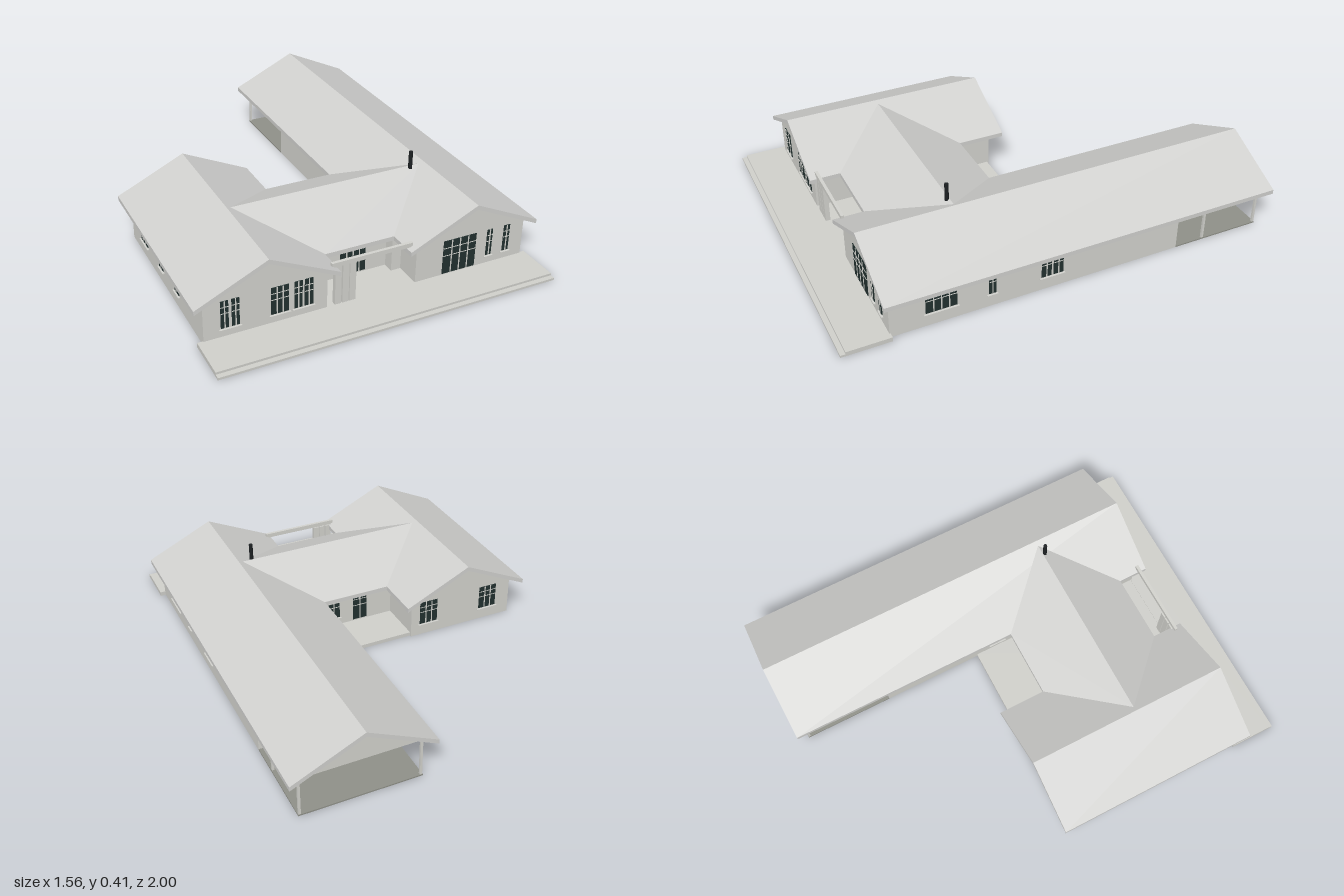
import * as THREE from 'three';

const mat = (name, color) => {
  const m = new THREE.MeshStandardMaterial({ color, side: THREE.DoubleSide });
  m.name = name;
  return m;
};

export function createModel() {
  const wall = mat('wall', 0xd2d2cd);
  const roof = mat('roof', 0xd0d0ce);
  const paving = mat('paving', 0xcfcfca);
  const decking = mat('decking', 0x8f9088);
  const glass = mat('glass', 0x22302f);
  const metal = mat('flue metal', 0x1c2022);
  const house = new THREE.Group();
  house.name = 'house';

  const add = (name, geo, material, parent = house) => {
    const mesh = new THREE.Mesh(geo, material);
    mesh.name = name;
    parent.add(mesh);
    return mesh;
  };
  // Box given by its limits on each axis
  const box = (name, material, x0, x1, y0, y1, z0, z1, parent) => {
    const g = new THREE.BoxGeometry(x1 - x0, y1 - y0, z1 - z0);
    g.translate((x0 + x1) / 2, (y0 + y1) / 2, (z0 + z1) / 2);
    return add(name, g, material, parent);
  };
  // Profile in x and y, extruded from z0 to z1
  const prism = (name, material, pts, z0, z1) => {
    const shape = new THREE.Shape(pts.map(([x, y]) => new THREE.Vector2(x, y)));
    const g = new THREE.ExtrudeGeometry(shape, { depth: z1 - z0, bevelEnabled: false });
    g.translate(0, 0, z0);
    return add(name, g, material);
  };

  // Gabled wings
  const PEAK = 0.34, EAVE = 0.195, HALF = 0.31, T = 0.02, IN = 0.265;
  const under = d => PEAK - T - 0.002 - (PEAK - EAVE) * d / HALF;
  const wing = (name, cx, wallBack, roofBack) => {
    prism(name + 'Walls', wall, [
      [cx - IN, 0], [cx + IN, 0], [cx + IN, under(IN)], [cx, under(0)], [cx - IN, under(IN)],
    ], wallBack, 0.79);
    prism(name + 'Roof', roof, [
      [cx - HALF, EAVE - T], [cx, PEAK - T], [cx + HALF, EAVE - T],
      [cx + HALF, EAVE], [cx, PEAK], [cx - HALF, EAVE],
    ], roofBack, 0.82);
  };
  wing('shortWing', -0.47, -0.08, -0.13);
  wing('longWing', 0.47, -0.54, -1);

  // Linking hall between the wings
  box('hallWalls', wall, -0.21, 0.21, 0, 0.18, 0.14, 0.62);
  box('hallSidePier', wall, 0.16, 0.21, 0, 0.18, 0.62, 0.67);
  const quads = [];
  const quad = (a, b, c, d) => quads.push(...a, ...b, ...c, ...a, ...c, ...d);
  const R = 0.45, E = 0.16, zr = 0.385;
  const eave = (x, y, s) => [x, y, zr + s * 0.295];
  for (const s of [1, -1]) {
    quad(eave(-E * s, EAVE, s), eave(E * s, EAVE, s), [R * s, 0.33, zr], [-R * s, 0.33, zr]);
    quad(eave(-E * s, EAVE - T, s), eave(E * s, EAVE - T, s), eave(E * s, EAVE, s), eave(-E * s, EAVE, s));
  }
  quad(eave(-E, EAVE - T, -1), eave(E, EAVE - T, -1), eave(E, EAVE - T, 1), eave(-E, EAVE - T, 1));
  const hall = new THREE.BufferGeometry();
  hall.setAttribute('position', new THREE.Float32BufferAttribute(quads, 3));
  hall.computeVertexNormals();
  add('hallRoof', hall, roof);

  // Floors and front terrace
  box('frontTerrace', paving, -0.76, 0.76, 0, 0.02, 0.785, 0.978);
  box('terraceStep', paving, -0.76, 0.76, 0, 0.01, 0.978, 1);
  box('courtFloor', paving, -0.21, 0.21, 0, 0.018, -0.07, 0.786);
  box('porchFloor', decking, 0.205, 0.735, 0, 0.006, -0.96, -0.541);

  // Rear porch: ceiling, gable and posts
  box('porchCeiling', wall, 0.205, 0.735, 0.182, 0.188, -0.955, -0.541);
  prism('porchGable', wall, [
    [0.205, 0.182], [0.735, 0.182], [0.735, under(IN)], [0.47, under(0)], [0.205, under(IN)],
  ], -0.96, -0.945);
  for (const [x, z] of [[0.212, -0.953], [0.728, -0.953], [0.728, -0.68]]) {
    box('porchPost', wall, x - 0.005, x + 0.005, 0, 0.184, z - 0.005, z + 0.005);
  }

  // Entry screen: beam and three posts
  box('entryBeam', wall, -0.185, 0.185, 0.2, 0.22, 0.775, 0.789);
  for (const x of [-0.155, -0.121, -0.089]) {
    box('entryPost', wall, x - 0.014, x + 0.014, 0.02, 0.2, 0.768, 0.789);
  }

  // Flue
  const flue = add('flue', new THREE.CylinderGeometry(0.009, 0.009, 0.11, 12), metal);
  flue.position.set(0.4, 0.35, 0.395);

  // Window of several panes, placed flat on a wall that faces the given angle
  const opening = (name, x, z, angle, w, y0, y1, cols) => {
    const g = new THREE.Group();
    g.name = name;
    g.position.set(x, 0, z);
    g.rotation.y = angle;
    house.add(g);
    const h = y1 - y0, bar = 0.0025;
    box('pane', glass, -w / 2, w / 2, y0, y1, 0, 0.003, g);
    for (let i = 1; i < cols; i++) {
      const bx = -w / 2 + w * i / cols;
      box('mullion', wall, bx - bar, bx + bar, y0, y1, 0.001, 0.005, g);
    }
    for (const f of [0.55, 0.78]) {
      const by = y0 + h * f;
      box('glazingBar', wall, -w / 2, w / 2, by - bar / 2, by + bar / 2, 0.001, 0.005, g);
    }
    if (y0 > 0.03) box('sill', wall, -w / 2 - 0.008, w / 2 + 0.008, y0 - 0.008, y0 - 0.004, 0, 0.009, g);
  };
  const front = 0, back = Math.PI, right = Math.PI / 2, left = -Math.PI / 2;

  // Front windows and glazed doors: centre, width, panes
  for (const [x, w, n] of [
    [-0.646, 0.033, 2], [-0.6, 0.032, 2], [-0.413, 0.075, 3], [-0.333, 0.035, 2], [-0.287, 0.037, 2],
    [0.564, 0.027, 2], [0.65, 0.03, 2],
  ]) opening('frontWindow', x, 0.79, front, w, 0.06, 0.185, n);
  opening('livingDoors', 0.415, 0.79, front, 0.16, 0.025, 0.185, 4);
  opening('entryDoors', 0, 0.62, front, 0.12, 0.025, 0.172, 4);

  // Outer side windows: centre, width, panes
  for (const [z, w, n] of [[0.568, 0.135, 4], [0.345, 0.032, 2], [0.1, 0.045, 2], [0.045, 0.045, 2]]) {
    opening('longWingWindow', 0.735, z, right, w, 0.065, 0.175, n);
  }
  for (const [z, w, n] of [[0.09, 0.09, 3], [0.31, 0.05, 2], [0.5, 0.05, 2]]) {
    opening('shortWingWindow', -0.735, z, left, w, 0.065, 0.175, n);
  }

  // Rear and courtyard windows
  opening('rearWindow', -0.295, -0.08, back, 0.09, 0.06, 0.175, 3);
  opening('rearWindow', -0.615, -0.08, back, 0.09, 0.06, 0.175, 3);
  opening('hallRearWindow', 0.11, 0.14, back, 0.09, 0.06, 0.165, 3);
  opening('hallRearDoor', -0.04, 0.14, back, 0.07, 0.025, 0.165, 2);
  opening('courtWindow', 0.205, 0.04, left, 0.07, 0.06, 0.165, 2);
  opening('porchDoor', 0.33, -0.54, back, 0.12, 0.02, 0.17, 3);

  return house;
}
